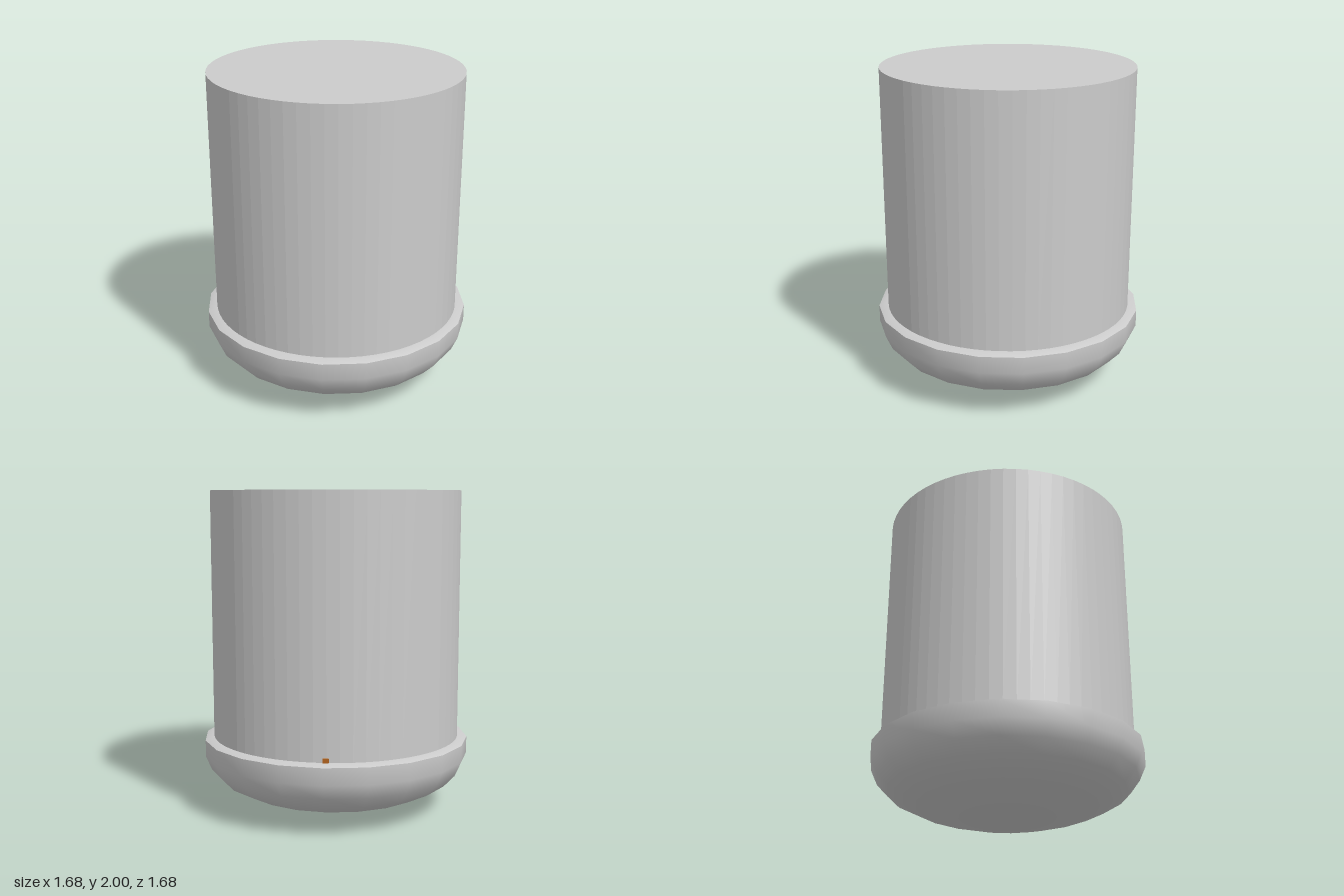
import * as THREE from 'three';

export function createModel() {
  const group = new THREE.Group();
  const grey = new THREE.MeshStandardMaterial({ color: 0xcccccc, side: THREE.DoubleSide });
  const faceted = new THREE.MeshStandardMaterial({ color: 0xcccccc, flatShading: true });
  const brown = new THREE.MeshStandardMaterial({ color: 0xb5651d });

  const add = (name, geometry, material) => {
    const mesh = new THREE.Mesh(geometry, material);
    mesh.name = name;
    group.add(mesh);
    return mesh;
  };
  // Twenty-sided turned part from [radius, height] pairs, bottom to top
  const turned = (points) =>
    new THREE.LatheGeometry(points.map(([r, y]) => new THREE.Vector2(r, y)), 20);

  // Tall solid drum with a flat top
  add('body', new THREE.CylinderGeometry(0.78, 0.78, 1.56, 64), faceted).position.y = 1.22;

  // Shallow rounded bowl under the drum
  add('bowl', turned([
    [0, 0], [0.2, 0.015], [0.4, 0.048], [0.59, 0.105], [0.73, 0.175],
    [0.8, 0.25], [0.84, 0.34], [0.84, 0.445],
  ]), grey);

  // Narrow sloping lip between bowl and drum
  add('lip', turned([[0.84, 0.445], [0.8, 0.46], [0.76, 0.46]]), grey);

  // Tiny tab on the back of the drum, just above the lip
  const tab = add('tab', new THREE.BoxGeometry(0.035, 0.03, 0.015), brown);
  tab.position.set(0.232, 0.472, -0.751);
  tab.rotation.y = -0.3;

  return group;
}
